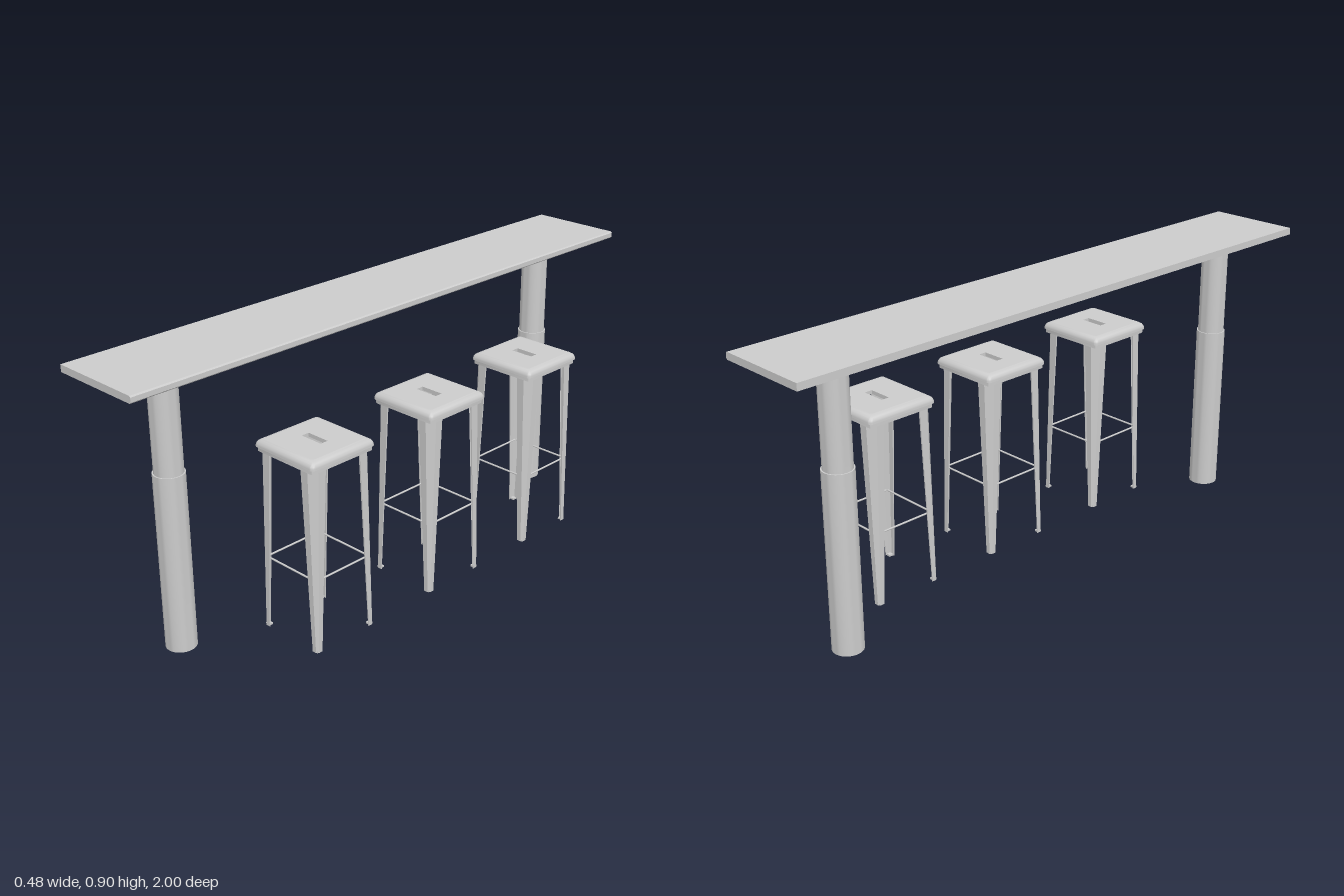
import * as THREE from 'three';
import { toCreasedNormals } from 'three/addons/utils/BufferGeometryUtils.js';

const material = new THREE.MeshStandardMaterial({ color: 0xcccccc, side: THREE.DoubleSide });

function addMesh(parent, name, geometry, x = 0, y = 0, z = 0) {
  const mesh = new THREE.Mesh(geometry, material);
  mesh.name = name;
  mesh.position.set(x, y, z);
  parent.add(mesh);
  return mesh;
}

// Skin between rings of [x, y, z] points, listed from top to bottom
function loft(rings, closed) {
  const n = rings[0].length;
  const index = [];
  for (let j = 0; j < rings.length - 1; j++) {
    for (let i = 0; i < (closed ? n : n - 1); i++) {
      const k = (i + 1) % n;
      const a = (j + 1) * n + i, b = (j + 1) * n + k, c = j * n + k, d = j * n + i;
      index.push(a, b, c, a, c, d);
    }
  }
  const geometry = new THREE.BufferGeometry();
  geometry.setAttribute('position', new THREE.Float32BufferAttribute(rings.flat(2), 3));
  geometry.setIndex(index);
  return toCreasedNormals(geometry, 0.6);
}

// Outline of a square with rounded corners
function roundedSquare(half, radius, steps = 4) {
  const points = [];
  for (let q = 0; q < 4; q++) {
    const mid = (q + 0.5) * Math.PI / 2;
    const cx = Math.sign(Math.cos(mid)) * (half - radius);
    const cy = Math.sign(Math.sin(mid)) * (half - radius);
    for (let s = 0; s <= steps; s++) {
      const t = (q + s / steps) * Math.PI / 2;
      points.push(new THREE.Vector2(cx + radius * Math.cos(t), cy + radius * Math.sin(t)));
    }
  }
  return points;
}

const ringAt = (points, y) => points.map((p) => [p.x, y, -p.y]);

// Folded sheet leg: two flanges, a chamfered corner and small inward lips
function legRing(y, width, chamfer, lip) {
  const outer = 0.114;
  const section = [
    [width, lip], [width, 0], [chamfer, 0], [0, chamfer], [0, width], [lip, width],
  ];
  return section.map(([u, v]) => [outer - u, y, outer - v]);
}

function createStool() {
  const stool = new THREE.Group();
  stool.name = 'stool';

  // Flat seat top with a hand slot
  const slot = [[0.039, 0.013], [-0.039, 0.013], [-0.039, -0.013], [0.039, -0.013]]
    .map(([x, y]) => new THREE.Vector2(x, y));
  const shape = new THREE.Shape(roundedSquare(0.1, 0.006));
  shape.holes.push(new THREE.Path(slot));
  addMesh(stool, 'seatTop', new THREE.ShapeGeometry(shape).rotateX(-Math.PI / 2), 0, 0.617, 0);
  addMesh(stool, 'slotWalls', loft([ringAt(slot, 0.605), ringAt(slot, 0.617)], true));

  // Rolled rim and the skirt below it: half width, corner radius, height
  const profile = [
    [0.1, 0.006, 0.617], [0.108, 0.008, 0.6155], [0.115, 0.01, 0.611], [0.119, 0.012, 0.605],
    [0.1205, 0.012, 0.599], [0.1205, 0.012, 0.594], [0.116, 0.01, 0.594], [0.116, 0.01, 0.581],
  ];
  addMesh(stool, 'seatRim', loft(
    profile.map(([half, radius, y]) => ringAt(roundedSquare(half, radius), y)), true));

  // Four corners, each with a leg, a foot and a footrest bar
  const legGeometry = loft([legRing(0.6, 0.05, 0.022, 0.005), legRing(0.008, 0.02, 0.006, 0.003)], false);
  const footGeometry = new THREE.BoxGeometry(0.014, 0.006, 0.014);
  const barGeometry = new THREE.CylinderGeometry(0.003, 0.003, 0.2, 8).rotateZ(Math.PI / 2);
  for (let k = 0; k < 4; k++) {
    const side = new THREE.Group();
    side.name = 'legAndBar';
    side.rotation.y = k * Math.PI / 2;
    addMesh(side, 'leg', legGeometry);
    addMesh(side, 'foot', footGeometry, 0.105, 0.011, 0.105);
    addMesh(side, 'footrestBar', barGeometry, 0, 0.24, 0.104);
    stool.add(side);
  }
  return stool;
}

export function createModel() {
  const model = new THREE.Group();
  model.name = 'barTableWithStools';

  // Long table top, with its edge on the stool side eased
  const edge = [
    [-0.241, 0.878], [0.061, 0.878], [0.065, 0.882], [0.065, 0.896], [0.061, 0.9], [-0.241, 0.9],
  ].map(([x, y]) => new THREE.Vector2(x, y));
  const topGeometry = new THREE.ExtrudeGeometry(new THREE.Shape(edge), { depth: 2, bevelEnabled: false });
  addMesh(model, 'tableTop', topGeometry, 0, 0, -1);

  // Stepped hollow columns
  const column = [[0.047, 0], [0.047, 0.56], [0.043, 0.56], [0.043, 0.878]]
    .map(([x, y]) => new THREE.Vector2(x, y));
  const columnGeometry = toCreasedNormals(new THREE.LatheGeometry(column, 32), 0.6);
  for (const z of [0.784, -0.792]) addMesh(model, 'tableColumn', columnGeometry, -0.1, 0, z);

  // Row of stools
  for (const z of [0.438, -0.032, -0.483]) {
    const stool = createStool();
    stool.position.set(0.118, 0, z);
    model.add(stool);
  }
  return model;
}
